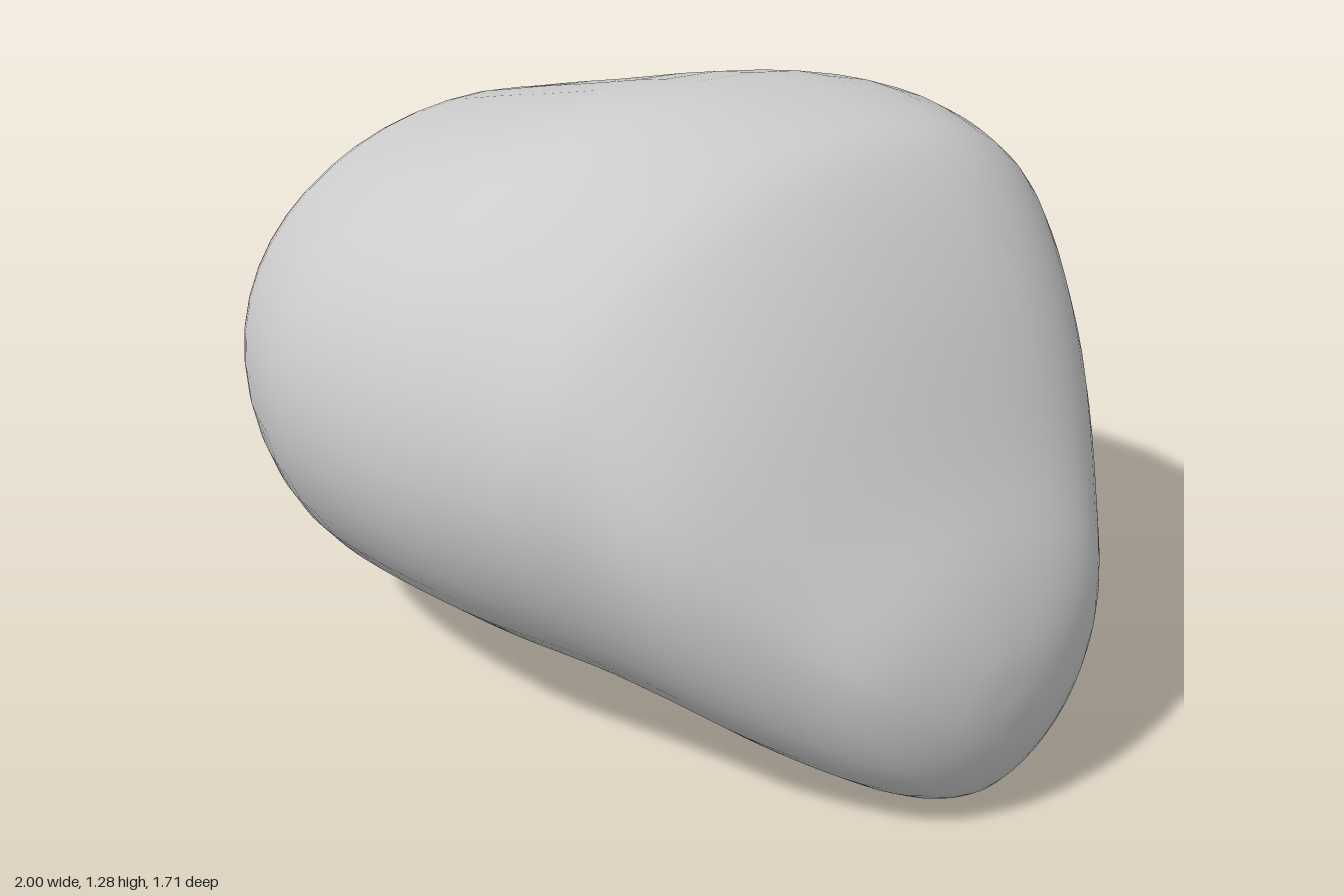
import * as THREE from 'three';
import { mergeVertices } from 'three/addons/utils/BufferGeometryUtils.js';

const { smoothstep, lerp } = THREE.MathUtils;

// Cross-sections along x: [x, top y,z, bottom y,z, front y,z, back y,z]
const sections = [
  [-1.0, 0.58, 0.10, 0.58, 0.10, 0.58, 0.10, 0.58, 0.10],
  [-0.985, 0.74, 0.11, 0.43, 0.12, 0.57, 0.29, 0.57, -0.05],
  [-0.93, 0.86, 0.11, 0.30, 0.13, 0.58, 0.46, 0.55, -0.23],
  [-0.82, 0.98, 0.11, 0.16, 0.13, 0.60, 0.61, 0.53, -0.42],
  [-0.66, 1.09, 0.12, 0.06, 0.12, 0.62, 0.72, 0.52, -0.63],
  [-0.50, 1.14, 0.12, 0.005, 0.10, 0.63, 0.79, 0.52, -0.77],
  [-0.25, 1.205, 0.11, 0.03, 0.05, 0.65, 0.85, 0.53, -0.86],
  [0.10, 1.28, 0.06, 0.06, 0.00, 0.66, 0.835, 0.60, -0.79],
  [0.37, 1.24, -0.07, 0.06, 0.00, 0.66, 0.75, 0.68, -0.65],
  [0.52, 1.155, -0.13, 0.03, 0.00, 0.64, 0.675, 0.67, -0.575],
  [0.68, 0.95, -0.12, 0.01, 0.00, 0.55, 0.575, 0.57, -0.49],
  [0.83, 0.68, -0.06, 0.00, 0.00, 0.42, 0.41, 0.43, -0.38],
  [0.93, 0.51, -0.02, 0.04, 0.00, 0.33, 0.28, 0.34, -0.28],
  [0.985, 0.37, 0.00, 0.14, 0.00, 0.26, 0.13, 0.26, -0.14],
  [1.0, 0.25, 0.00, 0.25, 0.00, 0.25, 0.00, 0.25, 0.00],
];

// Smooth lengthwise rail through one extreme of every section
function rail(column) {
  const points = sections.map((s) => new THREE.Vector3(s[0], s[column], s[column + 1]));
  return new THREE.CatmullRomCurve3(points, false, 'catmullrom', 0.5);
}

// Roundness of a quarter section: 2 is elliptical, higher is boxier
function roundness(x, isFront, isUpper) {
  if (isUpper) return isFront ? 2 : lerp(1.75, 2.6, smoothstep(x, -0.4, 0.5));
  const body = isFront ? 2 : lerp(2.1, 2.6, smoothstep(x, -0.8, -0.3));
  return lerp(body, 1.8, smoothstep(x, 0.1, 0.8));
}

function boulderGeometry() {
  const [top, bottom, front, back] = [1, 3, 5, 7].map(rail);
  const rings = (sections.length - 1) * 4;
  const around = 48;
  const positions = [];
  const indices = [];

  for (let i = 0; i <= rings; i++) {
    const [T, B, F, K] = [top, bottom, front, back].map((curve) => curve.getPoint(i / rings));
    for (let j = 0; j < around; j++) {
      const angle = (j / around) * Math.PI * 2;
      const c = Math.cos(angle);
      const s = Math.sin(angle);
      const side = c >= 0 ? F : K;
      const crown = s >= 0 ? T : B;
      const n = roundness(T.x, c >= 0, s >= 0);
      positions.push(
        T.x,
        side.y + (crown.y - side.y) * Math.abs(s) ** (2 / n),
        crown.z + (side.z - crown.z) * Math.abs(c) ** (2 / n),
      );
    }
  }

  for (let i = 0; i < rings; i++) {
    for (let j = 0; j < around; j++) {
      const a = i * around + j;
      const b = i * around + ((j + 1) % around);
      // Each end ring collapses to a point, so it takes only one triangle
      if (i > 0) indices.push(a, a + around, b);
      if (i < rings - 1) indices.push(b, a + around, b + around);
    }
  }

  const geometry = new THREE.BufferGeometry();
  geometry.setAttribute('position', new THREE.Float32BufferAttribute(positions, 3));
  geometry.setIndex(indices);
  const merged = mergeVertices(geometry, 1e-5);
  merged.computeVertexNormals();
  return merged;
}

export function createModel() {
  const model = new THREE.Group();
  model.name = 'rock';
  const boulder = new THREE.Mesh(
    boulderGeometry(),
    new THREE.MeshStandardMaterial({ color: 0xcccccc }),
  );
  boulder.name = 'boulder';
  model.add(boulder);
  return model;
}
